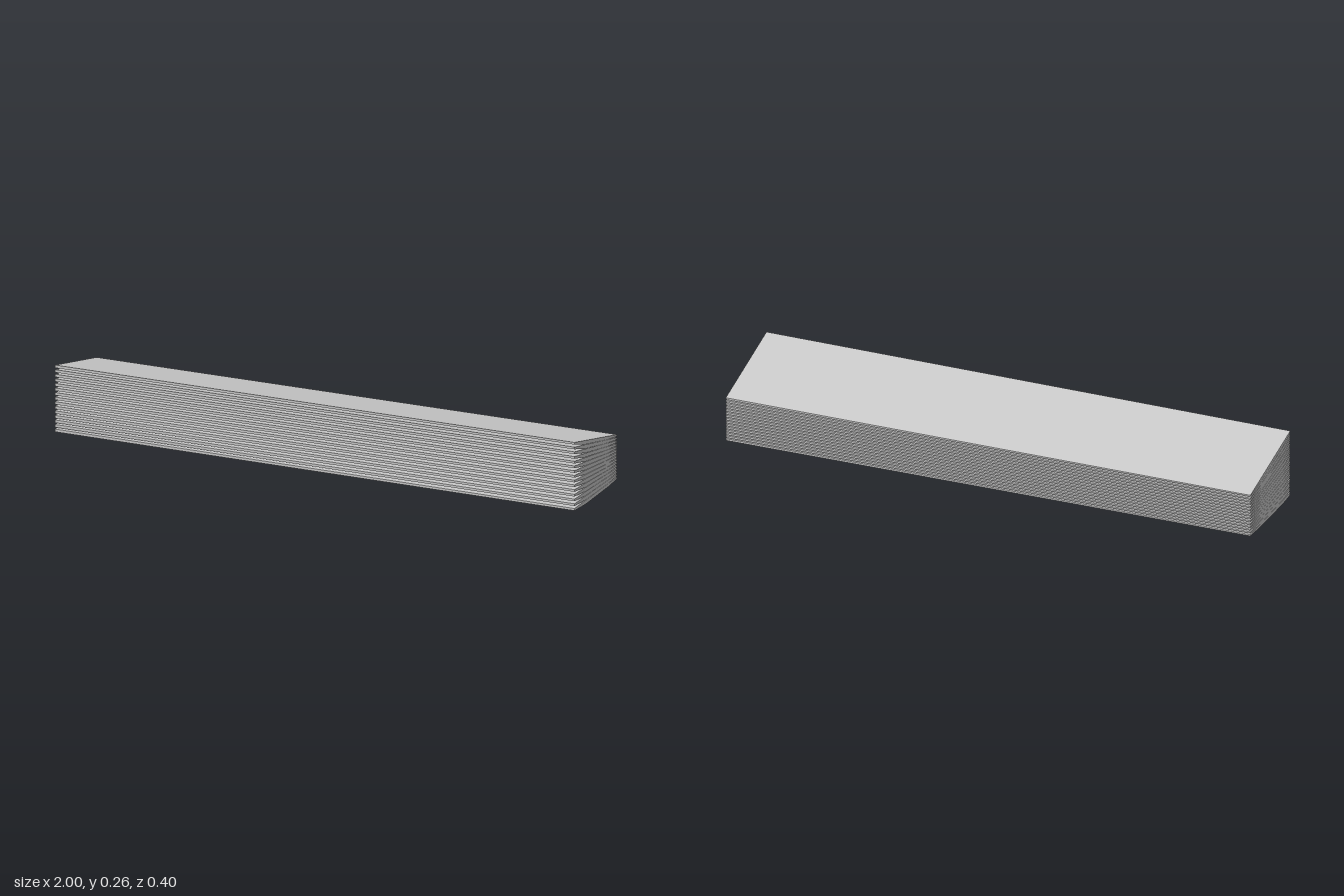
import * as THREE from 'three';

const { lerp, mapLinear } = THREE.MathUtils;
const COUNT = 15;

// Height of a board's sloping top at depth z; the stack fans open to the front
const topAt = (i, z) => mapLinear(z, -0.2, 0.2, 0.0105 + 0.0109 * i, 0.016 + 0.0176 * i);

// Board thickness at depth z: full in the middle, bevelled below at both edges
function thicknessAt(z) {
  if (z > 0.1) return mapLinear(z, 0.1, 0.2, 0.0146, 0.008);
  if (z < -0.1) return mapLinear(z, -0.2, -0.1, 0.0055, 0.0119);
  return mapLinear(z, -0.1, 0.1, 0.0119, 0.0146);
}

// One board: a box with three strips in depth, moved onto the slanted outline
function boardGeometry(i) {
  const box = new THREE.BoxGeometry(2, 1, 1, 1, 1, 3);
  const pos = box.attributes.position;
  for (let v = 0; v < pos.count; v++) {
    const end = (pos.getX(v) + 1) / 2;
    const back = lerp(-0.2, -0.175, end);
    const front = lerp(0.165, 0.198, end);
    const z = [back, -0.1, 0.1, front][Math.round((pos.getZ(v) + 0.5) * 3)];
    const y = topAt(i, z) - (pos.getY(v) < 0 ? thicknessAt(z) : 0);
    pos.setY(v, y);
    pos.setZ(v, z);
  }
  const geometry = box.toNonIndexed();
  geometry.computeVertexNormals();
  return geometry;
}

export function createModel() {
  const model = new THREE.Group();
  model.name = 'boardStack';
  const material = new THREE.MeshStandardMaterial({ color: 0xcccccc, flatShading: true });

  // Boards from the lowest, nearly level, to the steepest on top
  for (let i = 0; i < COUNT; i++) {
    const board = new THREE.Mesh(boardGeometry(i), material);
    board.name = `board${i + 1}`;
    model.add(board);
  }
  return model;
}
